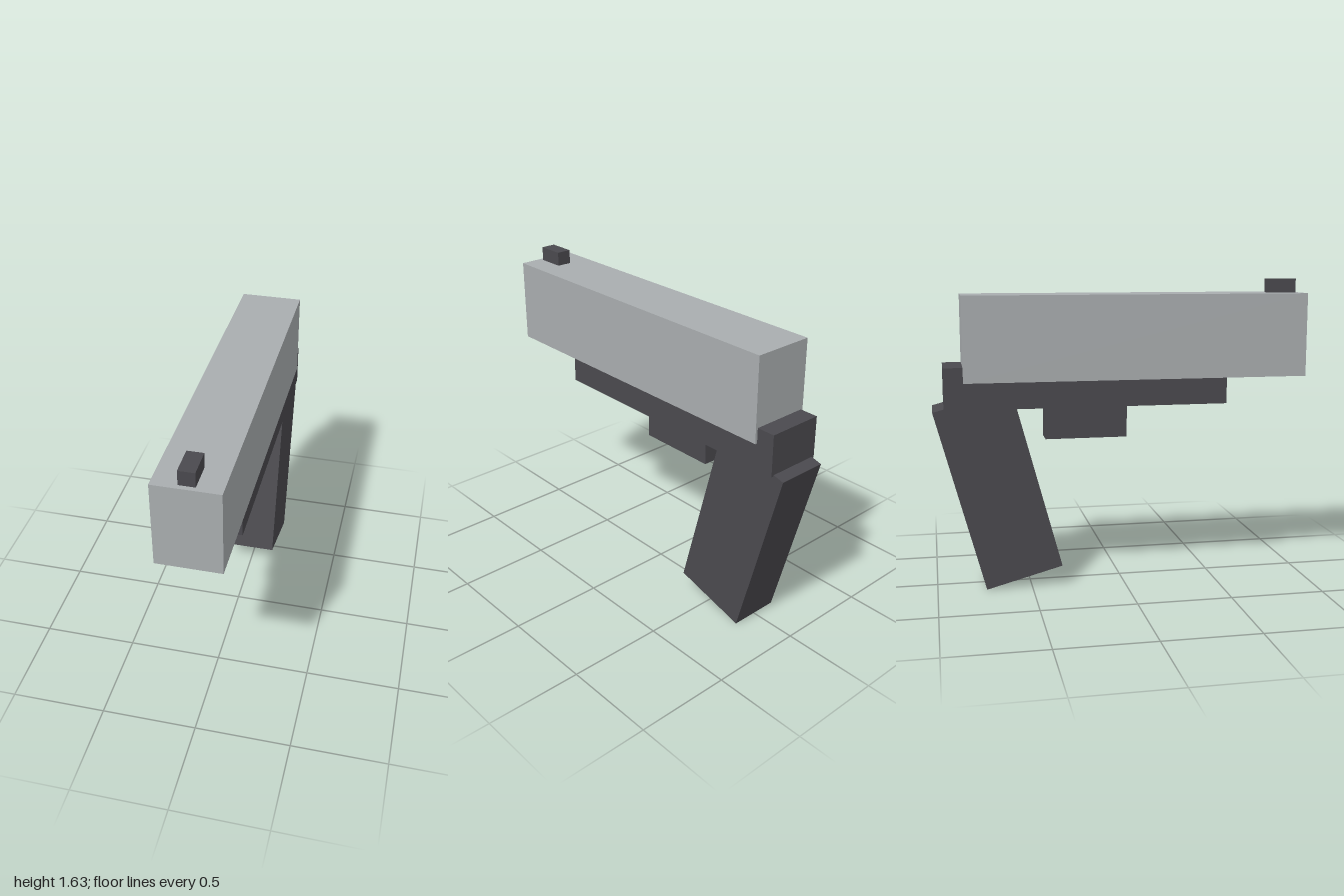
import * as THREE from 'three';

const lightGrey = new THREE.MeshStandardMaterial({ color: 0xa9adaf });
lightGrey.name = 'light grey';
const darkGrey = new THREE.MeshStandardMaterial({ color: 0x4a494e });
darkGrey.name = 'dark grey';

// Box centred on x, given its full width and its y and z ranges
function block(name, material, width, y0, y1, z0, z1) {
  const mesh = new THREE.Mesh(new THREE.BoxGeometry(width, y1 - y0, z1 - z0), material);
  mesh.position.set(0, (y0 + y1) / 2, (z0 + z1) / 2);
  mesh.name = name;
  return mesh;
}

export function createModel() {
  const model = new THREE.Group();
  model.name = 'blockyPistol';

  // Upper body and the small sight on its front end
  model.add(block('slide', lightGrey, 0.325, 1.11, 1.555, -0.84, 1));
  model.add(block('frontSight', darkGrey, 0.08, 1.555, 1.63, 0.825, 0.975));

  // Lower body, partly sunk into the slide, and the block beneath it
  model.add(block('frame', darkGrey, 0.3, 0.97, 1.19, -0.94, 0.56));
  model.add(block('triggerGuard', darkGrey, 0.12, 0.79, 0.97, -0.41, 0.03));

  // Handle, leaning back at the top
  const grip = new THREE.Mesh(new THREE.BoxGeometry(0.27, 0.995, 0.42), darkGrey);
  grip.position.set(0, 0.535, -0.668);
  grip.rotation.x = -Math.PI / 12;
  grip.name = 'grip';
  model.add(grip);

  return model;
}
